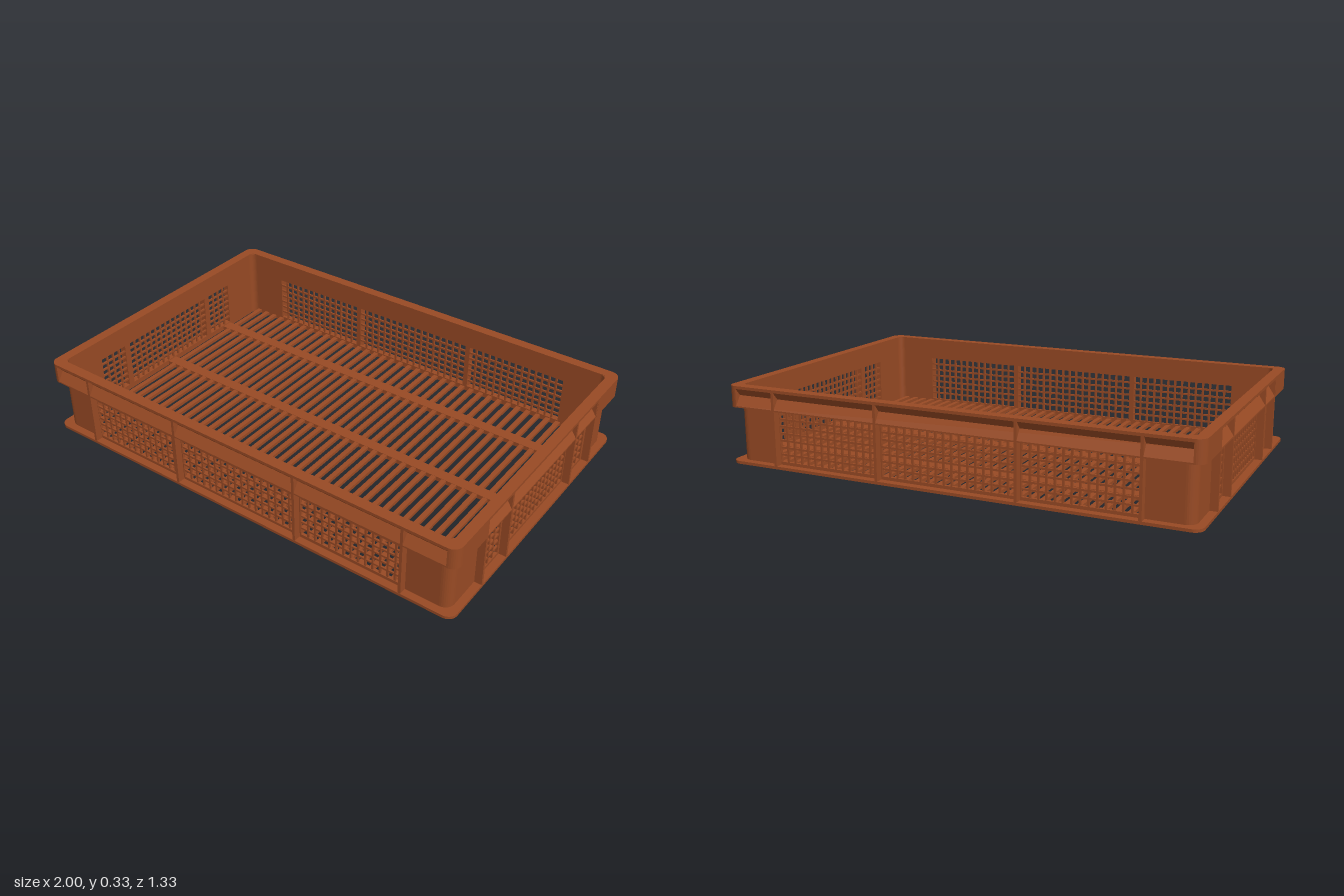
import * as THREE from 'three';
import { mergeGeometries } from 'three/addons/utils/BufferGeometryUtils.js';

const HX = 1, HZ = 0.667;        // half length and half width over the rim
const LEDGE = 0.032, WALL = 0.013; // rim overhang and wall thickness
const R = 0.04;                  // corner radius
const TOP = 0.33, BAND = 0.24;   // rim top and bottom of the rim band

// Rounded rectangle traced on a Shape or Path
function roundRect(path, hx, hy, r) {
  path.moveTo(hx, -hy + r);
  path.lineTo(hx, hy - r);
  path.absarc(hx - r, hy - r, r, 0, Math.PI / 2);
  path.lineTo(-hx + r, hy);
  path.absarc(-hx + r, hy - r, r, Math.PI / 2, Math.PI);
  path.lineTo(-hx, -hy + r);
  path.absarc(-hx + r, -hy + r, r, Math.PI, Math.PI * 1.5);
  path.lineTo(hx - r, -hy);
  path.absarc(hx - r, -hy + r, r, Math.PI * 1.5, Math.PI * 2);
  return path;
}

// Extrude a plan shape upward from y0 to y1
function rise(shape, y0, y1) {
  return new THREE.ExtrudeGeometry(shape, { depth: y1 - y0, bevelEnabled: false, curveSegments: 8 })
    .rotateX(-Math.PI / 2).translate(0, y0, 0);
}

// Horizontal ring following the outline of the crate
function ring(y0, y1, inset) {
  const s = roundRect(new THREE.Shape(), HX - inset, HZ - inset, R);
  s.holes.push(roundRect(new THREE.Path(), HX - LEDGE - WALL, HZ - LEDGE - WALL, 0.02));
  return rise(s, y0, y1);
}

function box(w, h, d, x, y, z) {
  return new THREE.BoxGeometry(w, h, d).translate(x, y, z);
}

export function createModel() {
  const plastic = new THREE.MeshStandardMaterial({ color: 0x984a24 });
  plastic.name = 'brownPlastic';
  const crate = new THREE.Group();
  crate.name = 'crate';
  const add = (parent, name, geometry) => {
    const mesh = new THREE.Mesh(geometry, plastic);
    mesh.name = name;
    parent.add(mesh);
  };

  // Rim lip and bottom flange
  add(crate, 'rimLip', ring(0.318, TOP, 0));
  add(crate, 'bottomFlange', ring(0, 0.012, 0));

  // Floor slats across the width, carried by three long bars
  const slats = [];
  for (let i = -19; i <= 19; i++) slats.push(box(0.021, 0.014, 1.25, i * 0.0483, 0.013, 0));
  add(crate, 'floorSlats', mergeGeometries(slats));
  add(crate, 'floorBars', mergeGeometries([-0.4, 0, 0.4].map((z) => box(1.92, 0.02, 0.05, 0, 0.011, z))));

  // Corner posts and the flat corner blocks on the rim band
  const px = HX - LEDGE, pz = HZ - LEDGE;
  for (const sx of [-1, 1]) for (const sz of [-1, 1]) {
    const post = new THREE.Shape(), block = new THREE.Shape();
    const arc = (cx, cz, r, from, to) => Array.from({ length: 9 }, (_, i) => {
      const a = (from + (to - from) * i / 8) * Math.PI / 2;
      return new THREE.Vector2(sx * (cx + r * Math.cos(a)), sz * (cz + r * Math.sin(a)));
    });
    post.setFromPoints([...arc(px - R, pz - R, R, 0, 1), ...arc(px - R, pz - R, R - WALL, 1, 0)]);
    block.setFromPoints([
      new THREE.Vector2(sx * (px - 0.004), sz * 0.45), new THREE.Vector2(sx * HX, sz * 0.45),
      ...arc(HX - R, HZ - R, R, 0, 1), new THREE.Vector2(sx * (HX - R), sz * (pz - 0.004)),
    ]);
    add(crate, 'cornerPost', rise(post, 0, TOP - 0.002));
    add(crate, 'rimCornerBlock', rise(block, BAND, TOP - 0.002));
  }

  // One wall in its own frame: u along x, outward along z
  function makeWall(name, half, dist, windows, ribs, scoopHalf) {
    const wall = new THREE.Group();
    wall.name = name;
    const y0 = 0.025, y1 = 0.233;

    // Panel with window openings
    const s = new THREE.Shape();
    s.moveTo(-half, 0).lineTo(half, 0).lineTo(half, TOP - 0.002).lineTo(-half, TOP - 0.002).closePath();
    const bars = [];
    for (const [a, b] of windows) {
      const h = new THREE.Path();
      h.moveTo(a, y0).lineTo(a, y1).lineTo(b, y1).lineTo(b, y0).closePath();
      s.holes.push(h);
      // Lattice bars
      const cols = Math.round((b - a) / 0.033), rows = 7;
      for (let i = 1; i < cols; i++)
        bars.push(box(0.008, y1 - y0, 0.009, a + (b - a) * i / cols, (y0 + y1) / 2, dist - WALL / 2));
      for (let j = 1; j < rows; j++)
        bars.push(box(b - a, 0.008, 0.008, (a + b) / 2, y0 + (y1 - y0) * j / rows, dist - WALL / 2));
    }
    add(wall, 'wallPanel', new THREE.ExtrudeGeometry(s, { depth: WALL, bevelEnabled: false })
      .translate(0, 0, dist - WALL));
    add(wall, 'lattice', mergeGeometries(bars));

    // Upright ribs
    add(wall, 'ribs', mergeGeometries(ribs.map((u) =>
      box(0.012, TOP - 0.012, LEDGE, u, TOP / 2, dist + LEDGE / 2 - 0.001))));

    // Scooped rim band under the lip
    const p = new THREE.Shape([[-0.004, BAND], [0.031, BAND], [0.031, 0.246], [0.004, 0.287], [0.031, 0.319], [-0.004, 0.319]]
      .map(([d, y]) => new THREE.Vector2(-d, y)));
    add(wall, 'rimBand', new THREE.ExtrudeGeometry(p, { depth: 2 * scoopHalf, bevelEnabled: false })
      .translate(0, 0, -scoopHalf).rotateY(Math.PI / 2).translate(0, 0, dist));
    crate.add(wall);
    return wall;
  }

  const longWindows = [[-0.77, -0.31], [-0.288, 0.288], [0.31, 0.77]];
  const shortWindows = [[-0.425, -0.283], [-0.253, 0.253], [0.283, 0.425]];
  const longRibs = [-0.778, -0.299, 0.299, 0.778];
  const shortRibs = [-0.449, -0.265, 0.265, 0.449];
  for (const [i, side] of ['front', 'back'].entries())
    makeWall(side + 'Wall', px - R, pz, longWindows, longRibs, px).rotation.y = i * Math.PI;
  for (const [i, side] of ['left', 'right'].entries())
    makeWall(side + 'Wall', pz - R, px, shortWindows, shortRibs, 0.45).rotation.y = Math.PI / 2 + i * Math.PI;

  return crate;
}
